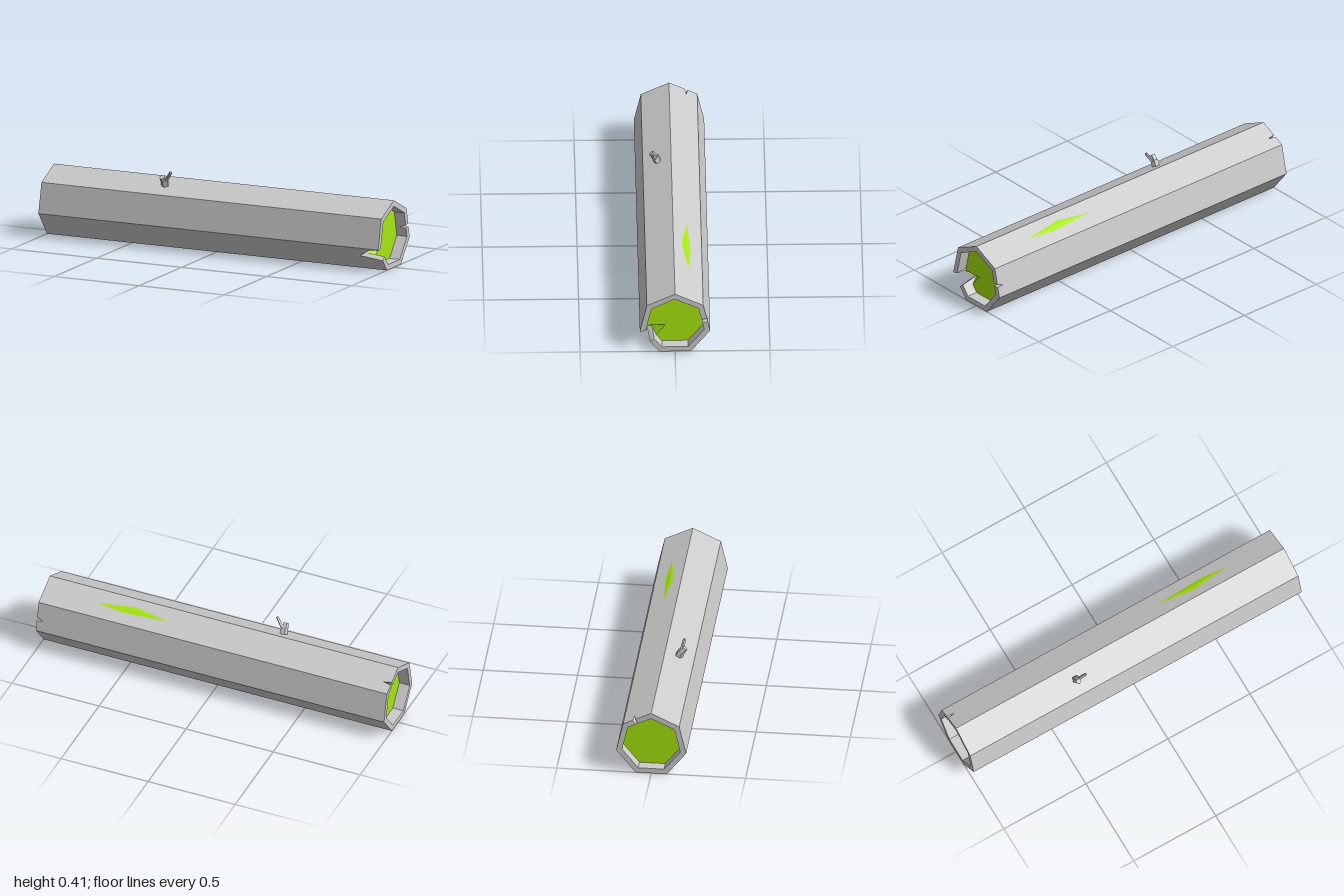
import * as THREE from 'three';

const SIDES = 7, OUTER = 0.19, INNER = 0.158, CENTRE = 0.171, RECESS = 0.94;
const bark = new THREE.MeshStandardMaterial({ color: 0xcccccc, flatShading: true });
const green = new THREE.MeshStandardMaterial({ color: 0xa6e60f, flatShading: true, side: THREE.DoubleSide });

// Point on side i of the log: x along it, t from 0 to 1 across the side
function onSide(radius, i, x, t) {
  const corner = (k) => {
    const a = (k * 2 * Math.PI) / SIDES;
    return new THREE.Vector3(x, CENTRE + radius * Math.cos(a), radius * Math.sin(a));
  };
  return corner(i).lerp(corner(i + 1), t);
}

// Mesh from a flat list of triangle corners
function triMesh(name, points, material) {
  const geometry = new THREE.BufferGeometry().setFromPoints(points);
  geometry.computeVertexNormals();
  const mesh = new THREE.Mesh(geometry, material);
  mesh.name = name;
  return mesh;
}

const triangulate = (pts) =>
  THREE.ShapeUtils.triangulateShape(pts.map(([x, y]) => new THREE.Vector2(x, y)), []);

// Hollow bark shell: one thick plank per side, with split notches at the ends
function createBark() {
  const notches = {
    2: { right: [[1, 0.03], [0.945, 0.06], [0.875, 0.38], [0.945, 0.46], [1, 0.52]] },
    5: { right: [[1, 0.35], [0.965, 0.38], [1, 0.47]] },
    6: { left: [[-1, 0.44], [-0.955, 0.39], [-1, 0.34]] },
  };
  const points = [];
  for (let i = 0; i < SIDES; i++) {
    const { right = [], left = [] } = notches[i] || {};
    const outline = [[-1, 0], [1, 0], ...right, [1, 1], [-1, 1], ...left];
    const out = outline.map(([x, t]) => onSide(OUTER, i, x, t));
    const inn = outline.map(([x, t]) => onSide(INNER, i, x, t));
    for (const [a, b, c] of triangulate(outline)) {
      points.push(out[a], out[c], out[b], inn[a], inn[b], inn[c]);
    }
    // End rims and notch walls
    outline.forEach(([, t], a) => {
      const b = (a + 1) % outline.length;
      if (t === outline[b][1]) return;
      points.push(out[a], out[b], inn[b], out[a], inn[b], inn[a]);
    });
  }
  return triMesh('bark', points, bark);
}

// Green wood at the recessed ends, with a wedge split out of the +x end
function createCore(x, split) {
  const rim = [];
  for (let i = 0; i < SIDES; i++) {
    rim.push(onSide(INNER, i, x, 0));
    if (split && i === 2) {
      const upper = onSide(INNER, 2, x, 0.1);
      const lower = onSide(INNER, 2, x, 0.65);
      rim.push(upper, new THREE.Vector3(x, 0.13, 0.05), lower);
    }
  }
  const points = triangulate(rim.map((p) => [p.z, p.y])).flat().map((k) => rim[k]);
  if (split) {
    const [upper, apex, lower] = rim.slice(3, 6);
    const tip = new THREE.Vector3(0.876, 0.081, 0.143);
    points.push(upper, apex, tip, apex, lower, tip);
  }
  return triMesh('coreEnd', points, green);
}

// Slim moss patch with a low ridge on the upper back side
function createMoss() {
  const spot = (x, t, lift) => onSide(OUTER + lift, 6, x, t);
  const edge = [[0.28, 0.5], [0.54, 0.4], [0.7, 0.5], [0.48, 0.7]].map(([x, t]) => spot(x, t, 0.001));
  const ridge = spot(0.5, 0.57, 0.004);
  const points = edge.flatMap((p, k) => [ridge, p, edge[(k + 1) % 4]]);
  return triMesh('mossPatch', points, green);
}

// Tapered low-poly stick between two points
function stick(name, from, to, r0, r1, sides) {
  const a = new THREE.Vector3(...from), b = new THREE.Vector3(...to);
  const dir = b.clone().sub(a);
  const mesh = new THREE.Mesh(new THREE.CylinderGeometry(r1, r0, dir.length(), sides), bark);
  mesh.position.copy(a).add(b).multiplyScalar(0.5);
  mesh.quaternion.setFromUnitVectors(new THREE.Vector3(0, 1, 0), dir.normalize());
  mesh.name = name;
  return mesh;
}

export function createModel() {
  const log = new THREE.Group();
  log.name = 'log';
  log.add(createBark(), createCore(RECESS, true), createCore(-RECESS, false), createMoss());

  // Broken twig on the upper front side
  const twig = new THREE.Group();
  twig.name = 'twig';
  twig.add(
    stick('twigBase', [-0.31, 0.318, 0.066], [-0.31, 0.358, 0.084], 0.022, 0.02, 5),
    stick('twigStub', [-0.312, 0.35, 0.082], [-0.312, 0.377, 0.104], 0.019, 0.015, 5),
    stick('twigShoot', [-0.302, 0.35, 0.082], [-0.264, 0.406, 0.097], 0.01, 0.008, 4),
  );
  log.add(twig);
  return log;
}
